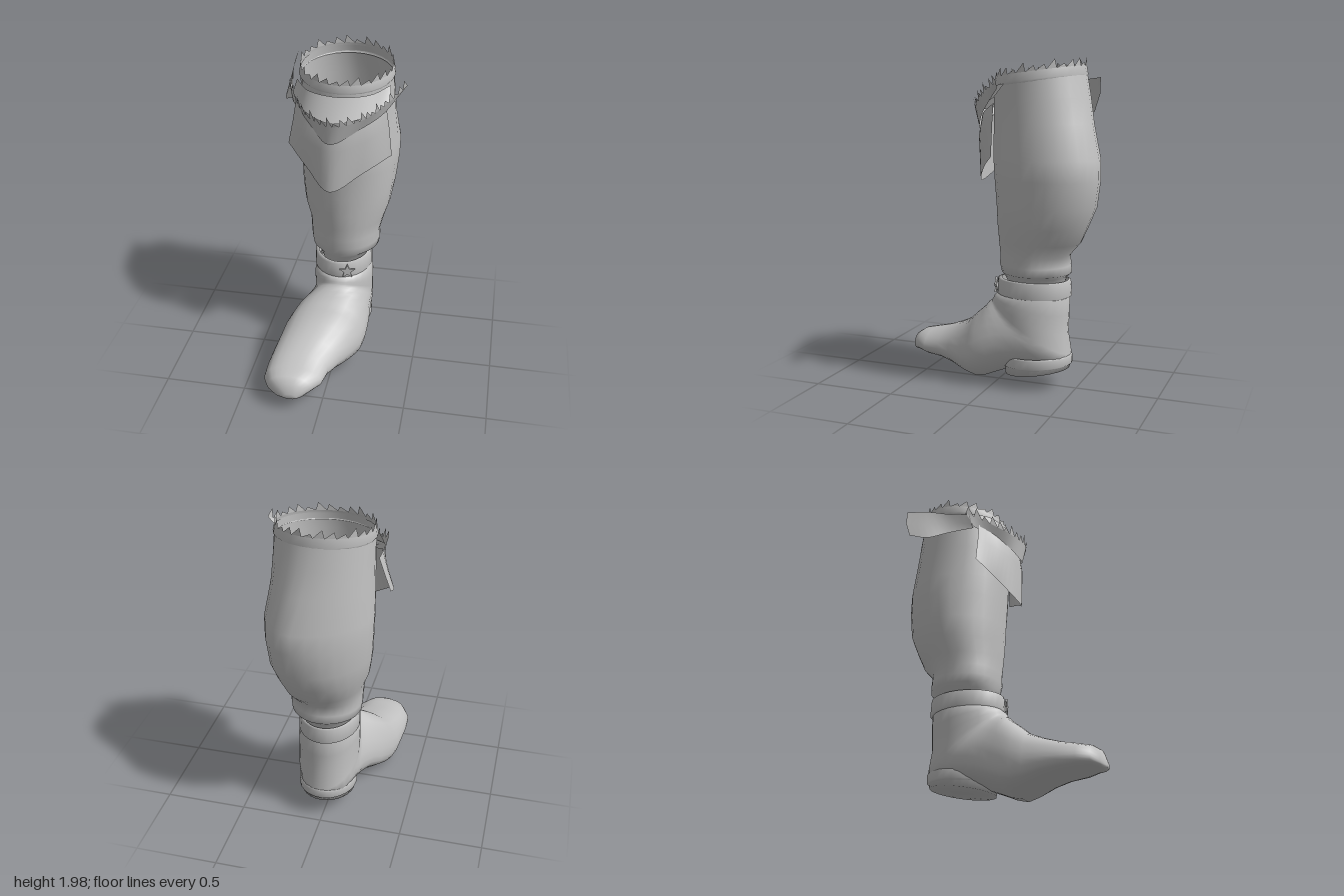
import * as THREE from 'three';

const leather = new THREE.MeshStandardMaterial({ color: 0xc2c2c2, side: THREE.DoubleSide });
leather.name = 'grey leather';

// Skin a list of rows of [x, y, z] points; closed wraps every row
function loft(name, rows, closed, capEnd = false) {
  const n = rows[0].length, pos = rows.flat(2), idx = [];
  const last = closed ? n : n - 1;
  for (let r = 0; r < rows.length - 1; r++) {
    for (let i = 0; i < last; i++) {
      const j = (i + 1) % n, a = r * n + i, b = r * n + j;
      idx.push(a, b, a + n, b, b + n, a + n);
    }
  }
  if (capEnd) {
    const row = rows[rows.length - 1], start = (rows.length - 1) * n, c = pos.length / 3;
    for (let k = 0; k < 3; k++) pos.push(row.reduce((s, p) => s + p[k], 0) / n);
    for (let i = 0; i < n; i++) idx.push(c, start + i, start + (i + 1) % n);
  }
  const g = new THREE.BufferGeometry();
  g.setAttribute('position', new THREE.Float32BufferAttribute(pos, 3));
  g.setIndex(idx);
  g.computeVertexNormals();
  const m = new THREE.Mesh(g, leather);
  m.name = name;
  return m;
}

// Horizontal ring from its bounds; skew pushes the back towards +x, tilt lifts the back
function ring([y, x0, x1, zf, zb], { skew = 0, tilt = 0, wrinkle = 0 } = {}) {
  const out = [], n = 28;
  for (let i = 0; i < n; i++) {
    const t = (i / n) * Math.PI * 2, s = Math.sin(t), c = Math.cos(t);
    const k = 1 + wrinkle * Math.sin(3 * t + y * 17) * Math.cos(2 * t - y * 9);
    out.push([
      (x0 + x1) / 2 + (x1 - x0) / 2 * s * k + skew * Math.max(-c, 0) * (1 - 0.5 * Math.abs(s)),
      y - tilt * c,
      (zf + zb) / 2 + (zf - zb) / 2 * c * k,
    ]);
  }
  return out;
}

const smooth = (pts, n, closed = false) =>
  new THREE.CatmullRomCurve3(pts.map((p) => new THREE.Vector3(...p)), closed)
    .getPoints(n).map((v) => v.toArray());

// Row of leaning triangular teeth along an edge
function fringe(name, edge, height, lean, out) {
  const pos = [];
  for (let i = 0; i < edge.length - 1; i++) {
    const a = edge[i], b = edge[i + 1];
    const h = height * (0.8 + 0.35 * Math.sin(i * 2.3));
    const tip = [0, 1, 2].map((k) => a[k] + (b[k] - a[k]) * lean);
    pos.push(...a, ...b, tip[0] * (1 + out), tip[1] + h, tip[2] + out);
  }
  const g = new THREE.BufferGeometry();
  g.setAttribute('position', new THREE.Float32BufferAttribute(pos, 3));
  g.computeVertexNormals();
  const m = new THREE.Mesh(g, leather);
  m.name = name;
  return m;
}

export function createModel() {
  const boot = new THREE.Group();
  boot.name = 'boot';

  // Hollow shaft: y, xMin, xMax, zFront, zBack, skew
  const shaft = [
    [1.88, -0.265, 0.285, 0.0, -0.53, 0], [1.75, -0.268, 0.29, 0.01, -0.565, 0.02],
    [1.6, -0.27, 0.298, 0.01, -0.595, 0.05], [1.4, -0.28, 0.32, 0.01, -0.645, 0.09],
    [1.28, -0.275, 0.32, 0.0, -0.65, 0.09], [1.12, -0.265, 0.305, -0.005, -0.625, 0.08],
    [1.0, -0.25, 0.283, -0.015, -0.575, 0.05], [0.9, -0.215, 0.25, -0.02, -0.525, 0.03],
    [0.82, -0.205, 0.23, -0.03, -0.455, 0.01], [0.76, -0.205, 0.23, -0.03, -0.46, 0],
    [0.71, -0.2, 0.222, -0.04, -0.46, 0], [0.685, -0.16, 0.17, -0.05, -0.43, 0],
    [0.62, -0.14, 0.15, -0.08, -0.415, 0],
  ];
  boot.add(loft('shaft', shaft.map((r) =>
    ring(r, { skew: r[5], tilt: r[0] > 1.8 ? 0.035 : 0, wrinkle: r[0] > 1.7 || r[0] < 0.7 ? 0 : 0.015 })), true));

  // Foot: rings fanning from the ankle round the heel to the toe,
  // as instep y, z; sole y, z; xMin, xMax; blend from round to foot-shaped
  const section = [
    [-0.45, 0], [-0.9, 0.1], [-1, 0.25], [-0.96, 0.5], [-0.76, 0.8], [-0.35, 0.97], [0.1, 1],
    [0.5, 0.95], [0.84, 0.75], [1, 0.45], [0.85, 0.2], [0.4, 0],
  ];
  const foot = [
    [0.62, -0.07, 0.62, -0.42, -0.145, 0.155, 0], [0.56, 0.0, 0.56, -0.445, -0.175, 0.185, 0],
    [0.55, 0.01, 0.46, -0.445, -0.18, 0.195, 0], [0.54, 0.015, 0.34, -0.44, -0.18, 0.195, 0],
    [0.53, 0.02, 0.22, -0.46, -0.18, 0.195, 0], [0.525, 0.025, 0.16, -0.455, -0.18, 0.195, 0.2],
    [0.52, 0.03, 0.14, -0.38, -0.19, 0.2, 0.4], [0.51, 0.04, 0.135, -0.25, -0.21, 0.2, 0.6],
    [0.495, 0.06, 0.11, -0.12, -0.245, 0.205, 0.8], [0.47, 0.08, 0.07, -0.02, -0.285, 0.205, 1],
    [0.44, 0.115, 0.03, 0.07, -0.315, 0.2, 1], [0.41, 0.15, 0.01, 0.14, -0.335, 0.185, 1],
    [0.345, 0.22, 0.02, 0.22, -0.35, 0.135, 1], [0.295, 0.32, 0.05, 0.32, -0.36, 0.075, 1],
    [0.255, 0.42, 0.065, 0.42, -0.366, 0.02, 1], [0.23, 0.52, 0.075, 0.52, -0.362, 0.0, 1],
    [0.215, 0.59, 0.085, 0.59, -0.325, -0.05, 1], [0.19, 0.63, 0.085, 0.63, -0.27, -0.09, 1],
    [0.13, 0.65, 0.095, 0.65, -0.21, -0.13, 1],
  ];
  boot.add(loft('foot', foot.map(([py, pz, qy, qz, x0, x1, k]) => smooth(section.map(([su, sv], i) => {
    const t = (i + 0.5) * Math.PI / 6;
    const u = THREE.MathUtils.lerp(-Math.sin(t), su, k);
    const v = THREE.MathUtils.lerp(0.5 - 0.51 * Math.cos(t), sv, k);
    return [(x0 + x1) / 2 + u * (x1 - x0) / 2, qy + v * (py - qy), qz + v * (pz - qz)];
  }), 24, true).slice(0, 24)), true, true));

  // Sloping heel block and its rim
  const heelRing = (y, grow, slope) =>
    ring([y, -0.155 - grow, 0.17 + grow, -0.055 + grow, -0.455 - grow]).map(([x, h, z]) => [x, h - slope * (z + 0.26), z]);
  boot.add(loft('heel', [heelRing(0.17, 0.01, 0.04), heelRing(0.095, 0, 0.16)], true, true));
  boot.add(loft('heelRim', [heelRing(0.2, 0.006, 0.06), heelRing(0.19, 0.016, 0.06), heelRing(0.14, 0.016, 0.08),
    heelRing(0.13, 0.004, 0.08)], true));

  // Ankle strap with a small star-shaped clasp
  boot.add(loft('ankleStrap', [
    [0.665, -0.16, 0.165, -0.03, -0.44], [0.66, -0.18, 0.183, -0.005, -0.455],
    [0.57, -0.182, 0.186, 0.0, -0.462], [0.555, -0.16, 0.17, -0.02, -0.44],
  ].map((r) => ring(r)), true));
  const star = new THREE.Shape();
  for (let i = 0; i < 10; i++) {
    const r = i % 2 ? 0.022 : 0.05, a = i * Math.PI / 5;
    star[i ? 'lineTo' : 'moveTo'](r * Math.sin(a), r * Math.cos(a));
  }
  const clasp = new THREE.Mesh(new THREE.ExtrudeGeometry(star, { depth: 0.012, bevelEnabled: false }), leather);
  clasp.name = 'strapClasp';
  clasp.position.set(0.06, 0.615, -0.012);
  clasp.rotation.y = 0.2;
  boot.add(clasp);

  // Folded rim and its ragged edge, higher at the back
  const rimTop = ring([1.895, -0.268, 0.285, 0.0, -0.53], { tilt: 0.035 });
  boot.add(loft('rimBand', [
    rimTop,
    ring([1.85, -0.275, 0.295, 0.01, -0.54], { tilt: 0.03 }),
    ring([1.835, -0.265, 0.285, 0.0, -0.53], { tilt: 0.03 }),
  ], true));
  boot.add(fringe('rimFringe', [...rimTop, rimTop[0]], 0.045, 0.8, 0));

  // Pointed knee flap
  const N = 24;
  const flapRow = (pts) => smooth(pts, N);
  boot.add(loft('kneeFlap', [
    flapRow([[-0.26, 1.72, -0.07], [-0.17, 1.66, 0.03], [-0.02, 1.62, 0.1], [0.15, 1.66, 0.04], [0.27, 1.72, -0.07]]),
    flapRow([[-0.28, 1.6, -0.07], [-0.19, 1.55, 0.05], [-0.02, 1.5, 0.12], [0.17, 1.55, 0.05], [0.29, 1.6, -0.07]]),
    flapRow([[-0.31, 1.45, -0.07], [-0.18, 1.345, 0.03], [-0.03, 1.24, 0.12], [0.15, 1.335, 0.04], [0.31, 1.42, -0.07]]),
  ], false));

  // Flared collar with V-shaped lower edge
  const collarTop = smooth([[-0.31, 1.79, -0.14], [-0.18, 1.7, 0.06], [-0.02, 1.67, 0.145], [0.16, 1.7, 0.08],
    [0.27, 1.76, 0.0], [0.38, 1.84, -0.13]], N);
  const collarLow = smooth([[-0.28, 1.7, -0.1], [-0.15, 1.63, 0.05], [-0.03, 1.55, 0.125], [0.14, 1.63, 0.06],
    [0.26, 1.7, -0.02], [0.35, 1.8, -0.12]], N);
  boot.add(loft('collar', [collarTop, collarLow], false));
  boot.add(fringe('collarFringe', collarTop, 0.055, 0.1, 0.01));

  // Lining sloping from the shaft down into the collar
  const liningTop = smooth([[-0.27, 1.82, -0.16], [-0.17, 1.81, -0.02], [0, 1.8, 0.02], [0.18, 1.81, -0.02],
    [0.285, 1.83, -0.14]], N);
  const liningLow = smooth([[-0.29, 1.75, -0.13], [-0.19, 1.7, 0.02], [-0.02, 1.67, 0.1], [0.17, 1.7, 0.04],
    [0.295, 1.75, -0.08]], N);
  boot.add(loft('collarLining', [liningTop, liningLow], false));

  // Loose collar tail sweeping back along the right side
  boot.add(loft('collarTail', [
    smooth([[-0.3, 1.78, -0.12], [-0.32, 1.8, -0.25], [-0.335, 1.84, -0.4], [-0.34, 1.86, -0.53]], 10),
    smooth([[-0.29, 1.72, -0.11], [-0.315, 1.73, -0.25], [-0.36, 1.73, -0.39], [-0.37, 1.76, -0.52]], 10),
    smooth([[-0.28, 1.69, -0.1], [-0.325, 1.66, -0.25], [-0.39, 1.61, -0.36], [-0.395, 1.65, -0.48]], 10),
  ], false));

  return boot;
}
